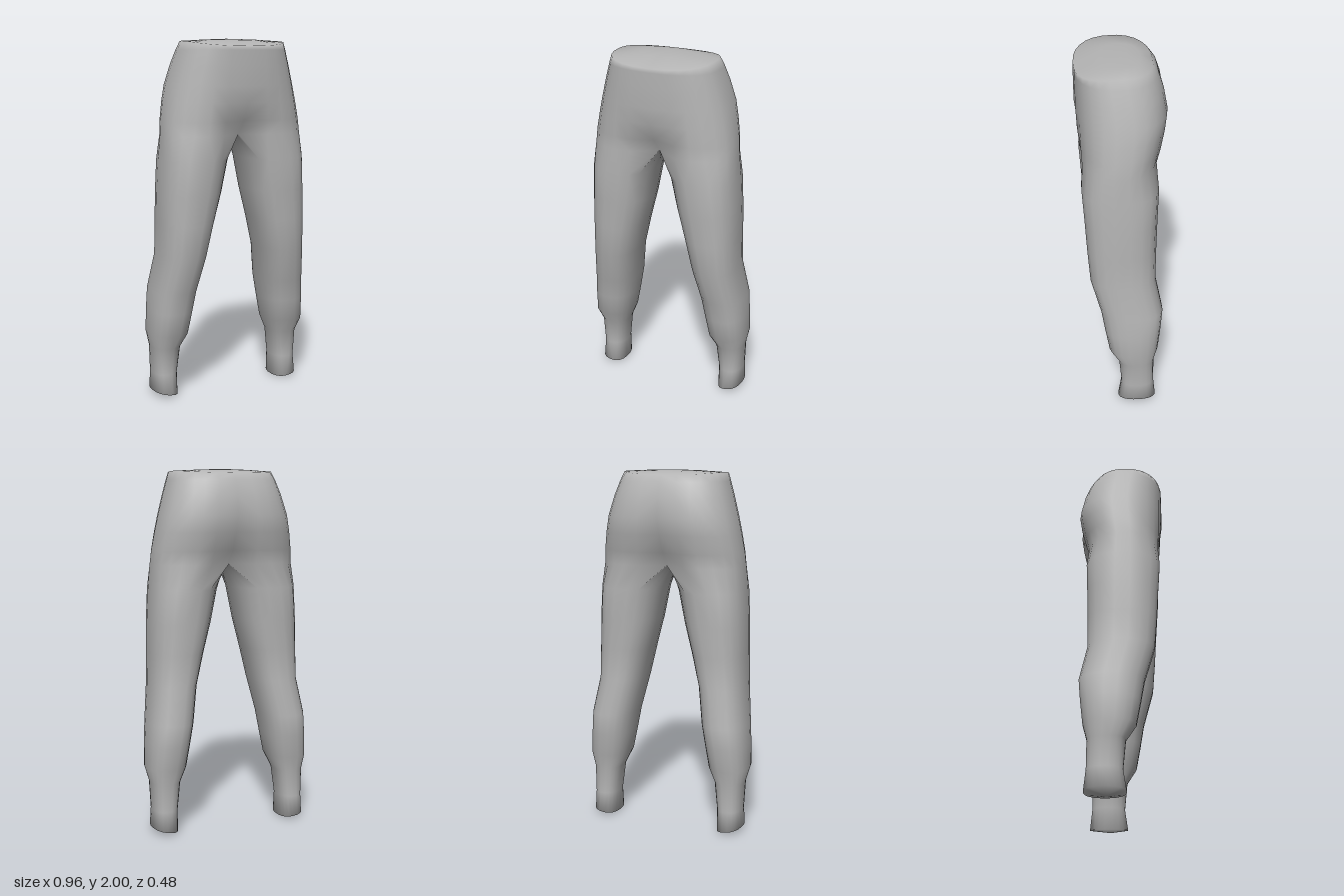
import * as THREE from 'three';
import { mergeVertices } from 'three/addons/utils/BufferGeometryUtils.js';

const N = 20; // points per cross-section
const OUTER = 13; // points 0..OUTER run front -> outside -> back

const power = (v, p) => Math.sign(v) * Math.abs(v) ** (2 / p);

// Half section of the hips: closes on the centre line x = 0
function hipRing({ y, w, front, back, dipF = 0, dipB = 0, p = 2.5, drop = 0 }) {
  const pts = [];
  const cz = (front + back) / 2, rz = (front - back) / 2;
  for (let k = 0; k <= OUTER; k++) {
    const a = Math.PI / 2 - (Math.PI * k) / OUTER;
    const x = k === 0 || k === OUTER ? 0 : w * power(Math.cos(a), p);
    let z = cz + rz * power(Math.sin(a), p);
    z *= 1 - (z > 0 ? dipF : dipB) * Math.exp(-((x / 0.1) ** 2));
    pts.push([x, y - drop * (z / 0.25) ** 2, z]);
  }
  const z0 = pts[0][2], z1 = pts[OUTER][2];
  for (let k = OUTER + 1; k < N; k++) {
    pts.push([0, y, z1 + ((z0 - z1) * (k - OUTER)) / (N - OUTER)]);
  }
  return pts;
}

// Full section of one leg
function legRing({ y, xi, xo, front, back, p = 2.4, tilt = 0 }) {
  const pts = [];
  const cx = (xi + xo) / 2, rx = (xo - xi) / 2;
  const cz = (front + back) / 2, rz = (front - back) / 2;
  const start = (Math.PI * OUTER) / N;
  for (let k = 0; k < N; k++) {
    const a = start - (2 * Math.PI * k) / N;
    const x = cx + rx * power(Math.cos(a), p);
    pts.push([x, y + tilt * (x - xi), cz + rz * power(Math.sin(a), p)]);
  }
  return pts;
}

function buildRings() {
  const hips = [
    // domed waist cap
    { y: 2.0, w: 0, front: -0.03, back: -0.03 },
    { y: 1.995, w: 0.15, front: 0.11, back: -0.1, drop: 0.01 },
    { y: 1.988, w: 0.288, front: 0.245, back: -0.165, drop: 0.028 },
    // seat and belly
    { y: 1.94, w: 0.305, front: 0.246, back: -0.195, dipB: 0.03 },
    { y: 1.86, w: 0.332, front: 0.246, back: -0.225, dipB: 0.06 },
    { y: 1.75, w: 0.364, front: 0.245, back: -0.248, dipB: 0.1 },
    { y: 1.66, w: 0.384, front: 0.243, back: -0.236, dipF: 0.05, dipB: 0.16 },
    { y: 1.56, w: 0.402, front: 0.24, back: -0.215, dipF: 0.22, dipB: 0.3 },
    // crotch
    { y: 1.485, w: 0.41, front: 0.236, back: -0.195, dipF: 0.5, dipB: 0.5 },
  ];
  const legs = [
    // thigh
    { y: 1.35, xi: 0.053, xo: 0.42, front: 0.224, back: -0.187 },
    { y: 1.17, xi: 0.09, xo: 0.43, front: 0.212, back: -0.18 },
    { y: 1.0, xi: 0.135, xo: 0.433, front: 0.202, back: -0.175 },
    { y: 0.82, xi: 0.178, xo: 0.436, front: 0.188, back: -0.172 },
    // calf
    { y: 0.62, xi: 0.215, xo: 0.464, front: 0.132, back: -0.213 },
    { y: 0.5, xi: 0.235, xo: 0.473, front: 0.112, back: -0.203 },
    { y: 0.37, xi: 0.258, xo: 0.479, front: 0.088, back: -0.188 },
    // ankle and cuff
    { y: 0.285, xi: 0.295, xo: 0.459, front: 0.034, back: -0.165 },
    { y: 0.13, xi: 0.314, xo: 0.452, front: 0.02, back: -0.166 },
    { y: 0.005, xi: 0.315, xo: 0.455, front: 0.038, back: -0.178, tilt: 0.16 },
    { y: 0.0, xi: 0.38, xo: 0.38, front: -0.06, back: -0.06 },
  ];
  return [...hips.map(hipRing), ...legs.map(legRing)];
}

// Skin the rings on the left side and mirror them to the right
function buildTrousers() {
  const rings = buildRings();
  const positions = [];
  const triangle = (a, b, c) => {
    if (a[0] + b[0] + c[0] < 1e-6) return; // no wall on the centre plane
    positions.push(...a, ...b, ...c);
    for (const [x, y, z] of [a, c, b]) positions.push(x === 0 ? 0 : -x, y, z);
  };
  for (let i = 0; i < rings.length - 1; i++) {
    for (let k = 0; k < N; k++) {
      const j = (k + 1) % N;
      const a = rings[i][k], b = rings[i][j];
      const c = rings[i + 1][k], d = rings[i + 1][j];
      triangle(a, c, b);
      triangle(b, c, d);
    }
  }
  const raw = new THREE.BufferGeometry();
  raw.setAttribute('position', new THREE.Float32BufferAttribute(positions, 3));
  const geometry = mergeVertices(raw, 1e-4);
  geometry.computeVertexNormals();
  return geometry;
}

export function createModel() {
  const group = new THREE.Group();
  group.name = 'trousers';
  const cloth = new THREE.MeshStandardMaterial({ color: 0xb4b4b4 });
  cloth.name = 'grey cloth';
  const mesh = new THREE.Mesh(buildTrousers(), cloth);
  mesh.name = 'hipsAndLegs';
  group.add(mesh);
  return group;
}
